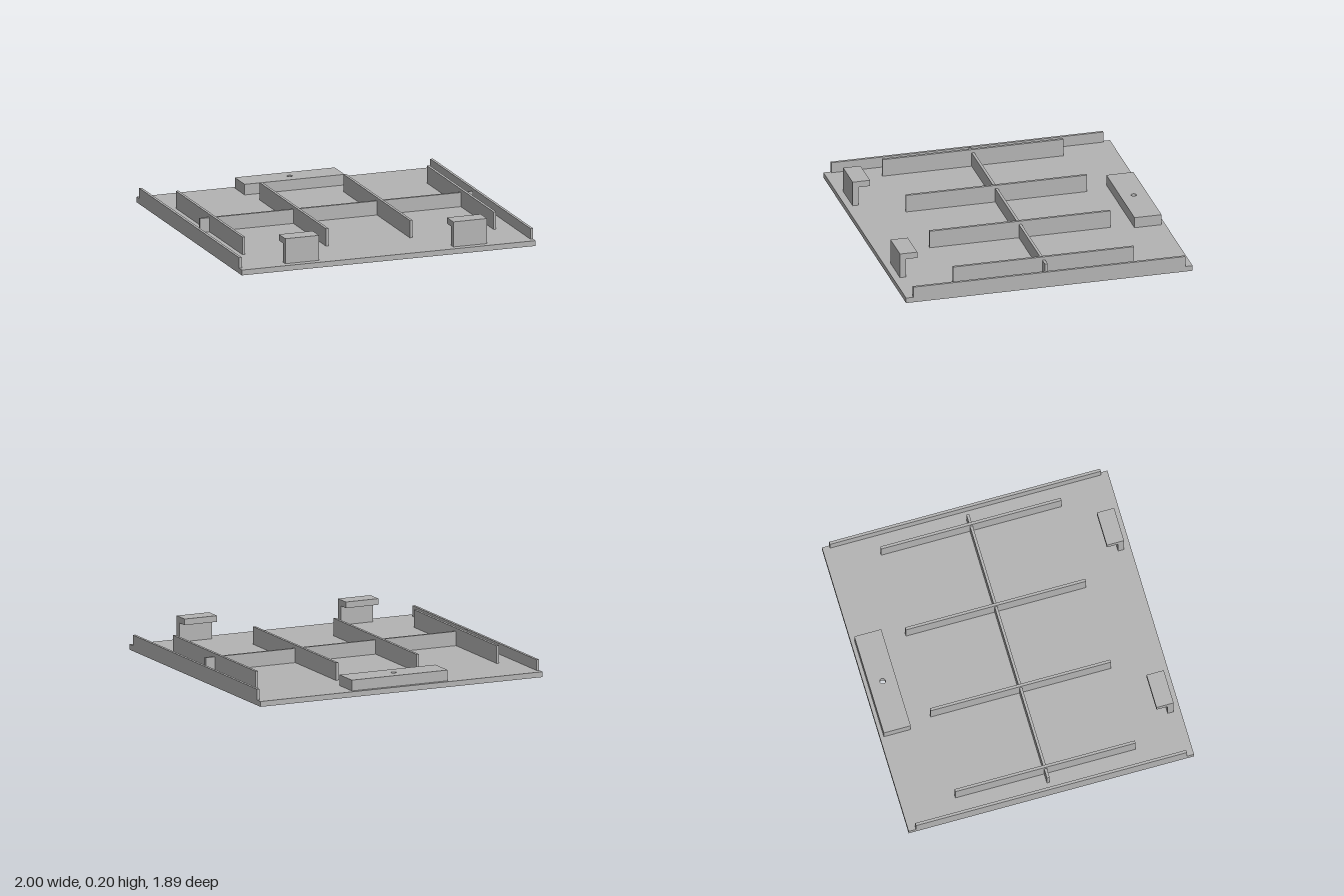
import * as THREE from 'three';

export function createModel() {
  const group = new THREE.Group();
  group.name = 'coverPanel';
  const grey = new THREE.MeshStandardMaterial({ color: 0xb3b3b3 });
  grey.name = 'plainGrey';

  const add = (name, geometry) => {
    const mesh = new THREE.Mesh(geometry, grey);
    mesh.name = name;
    group.add(mesh);
  };
  const box = (name, x0, x1, y0, y1, z0, z1) => {
    const g = new THREE.BoxGeometry(x1 - x0, y1 - y0, z1 - z0);
    add(name, g.translate((x0 + x1) / 2, (y0 + y1) / 2, (z0 + z1) / 2));
  };
  // Horizontal slab with one hole cut through it
  const slab = (name, x, z0, z1, y0, y1, hole) => {
    const s = new THREE.Shape([[-x, -z1], [x, -z1], [x, -z0], [-x, -z0]].map(p => new THREE.Vector2(...p)));
    s.holes.push(hole);
    const g = new THREE.ExtrudeGeometry(s, { depth: y1 - y0, bevelEnabled: false, curveSegments: 16 });
    add(name, g.rotateX(-Math.PI / 2).translate(0, y0, 0));
  };

  const floor = 0.035, holeZ = -0.83;

  // Rounded finger slot and small round hole
  const slot = new THREE.Path();
  slot.absarc(0.255, -holeZ, 0.045, -Math.PI / 2, Math.PI / 2, false);
  slot.absarc(-0.255, -holeZ, 0.045, Math.PI / 2, Math.PI * 1.5, false);
  slot.closePath();
  const pin = new THREE.Path();
  pin.absarc(0, -holeZ, 0.018, 0, Math.PI * 2, false);

  // Base plate and hollow latch block
  slab('basePlate', 1, -0.945, 0.945, 0, floor, slot);
  slab('latchBlockWalls', 0.34, -0.92, -0.742, floor, 0.07, slot);
  slab('latchBlockRoof', 0.34, -0.92, -0.742, 0.07, 0.105, pin);

  // Long ribs and the cross rib
  for (const x of [-0.855, -0.285, 0.285, 0.855])
    box('longRib', x - 0.009, x + 0.009, floor, 0.15, -0.597, 0.597);
  box('crossRib', -0.928, 0.928, floor, 0.128, -0.009, 0.009);

  for (const s of [-1, 1]) {
    // Side rail
    const rx = s * 0.991;
    box('sideRail', rx - 0.009, rx + 0.009, floor, 0.105, -0.897, 0.897);

    // Front hook: L-shaped profile swept along x
    const profile = [[0.9, floor], [0.9, 0.2], [0.786, 0.2], [0.786, 0.16], [0.86, 0.16], [0.86, floor]];
    const shape = new THREE.Shape(profile.map(([z, y]) => new THREE.Vector2(-z, y)));
    const g = new THREE.ExtrudeGeometry(shape, { depth: 0.23, bevelEnabled: false });
    add('frontHook', g.rotateY(Math.PI / 2).translate(s * 0.572 - 0.115, 0, 0));
  }
  return group;
}
